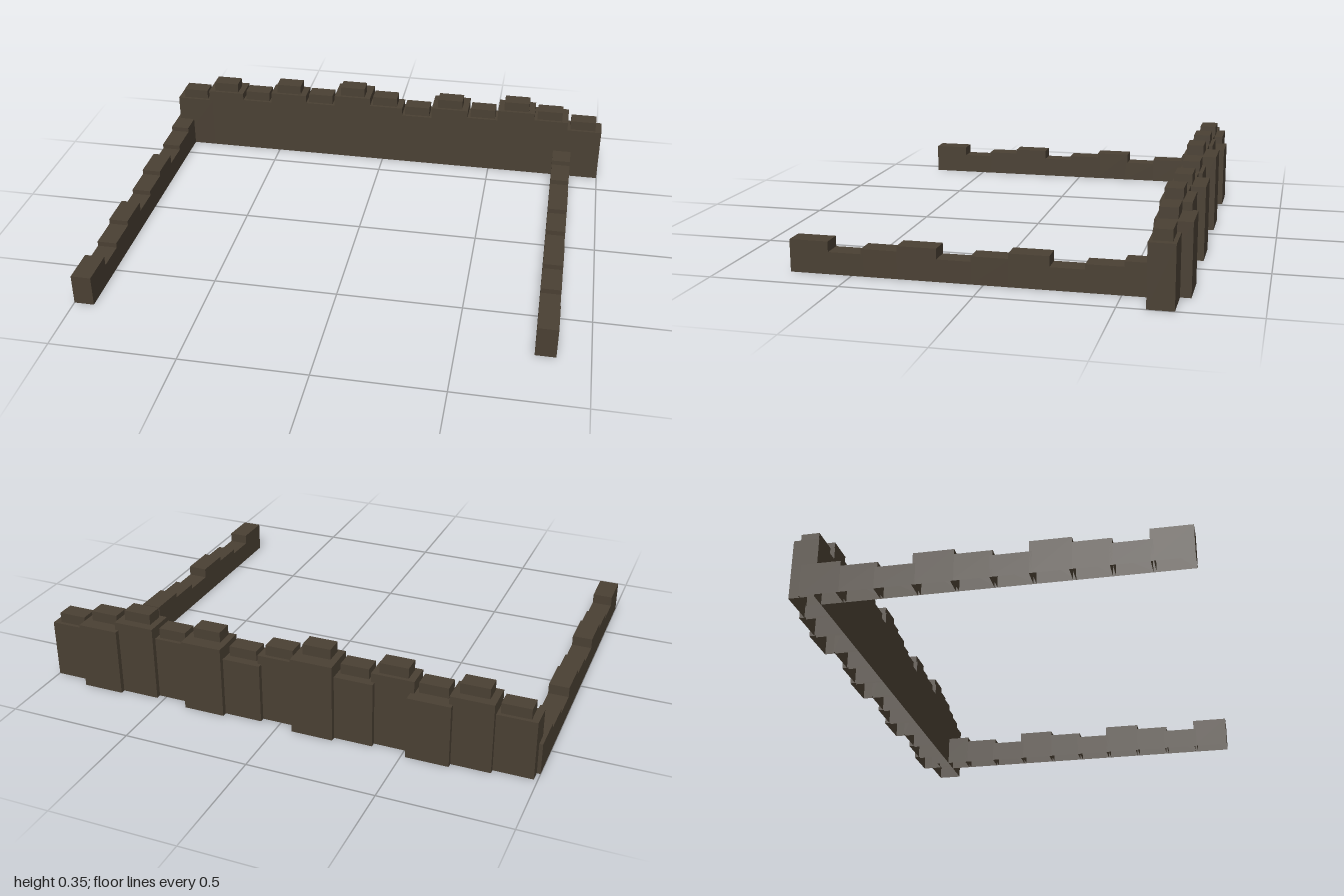
import * as THREE from 'three';

const stone = new THREE.MeshStandardMaterial({ color: 0x4a4033, side: THREE.DoubleSide });
stone.name = 'dark brown stone';

// Box given by its limits, open underneath
function openBlock(name, x0, x1, y0, y1, z0, z1) {
  const geo = new THREE.BoxGeometry(x1 - x0, y1 - y0, z1 - z0);
  const index = Array.from(geo.index.array);
  index.splice(18, 6); // drop the underside face
  geo.setIndex(index);
  geo.clearGroups();
  const mesh = new THREE.Mesh(geo, stone);
  mesh.name = name;
  mesh.position.set((x0 + x1) / 2, (y0 + y1) / 2, (z0 + z1) / 2);
  return mesh;
}

export function createModel() {
  const model = new THREE.Group();
  model.name = 'ruinedWallEnclosure';

  // Back wall: stepped blocks, each with a small cap stone
  const wall = new THREE.Group();
  wall.name = 'backWall';
  const heights = [0.235, 0.282, 0.25, 0.298, 0.262, 0.311, 0.275, 0.24, 0.289, 0.256, 0.304, 0.272, 0.235];
  const backs = [-0.7, -0.72, -0.74];
  heights.forEach((h, i) => {
    const x = -0.903 + i * 0.1516;
    wall.add(openBlock('wallBlock', x - 0.083, x + 0.083, 0, h, backs[i % 3], -0.603));
    wall.add(openBlock('capStone', x - 0.056, x + 0.056, h, h + 0.041, -0.685, -0.616));
  });
  model.add(wall);

  // Low side walls: ten blocks in a repeating three-step rhythm
  const steps = [0.125, 0.105, 0.085];
  for (const [name, x] of [['rightSideWall', -0.96], ['leftSideWall', 0.832]]) {
    const side = new THREE.Group();
    side.name = name;
    for (let i = 0; i < 10; i++) {
      const z = -0.583 + i * 0.1386;
      const half = i % 3 === 0 ? 0.075 : 0.0745;
      side.add(openBlock('sideBlock', x - 0.04, x + 0.04, 0, steps[i % 3], z - half, z + half));
    }
    model.add(side);
  }
  return model;
}
